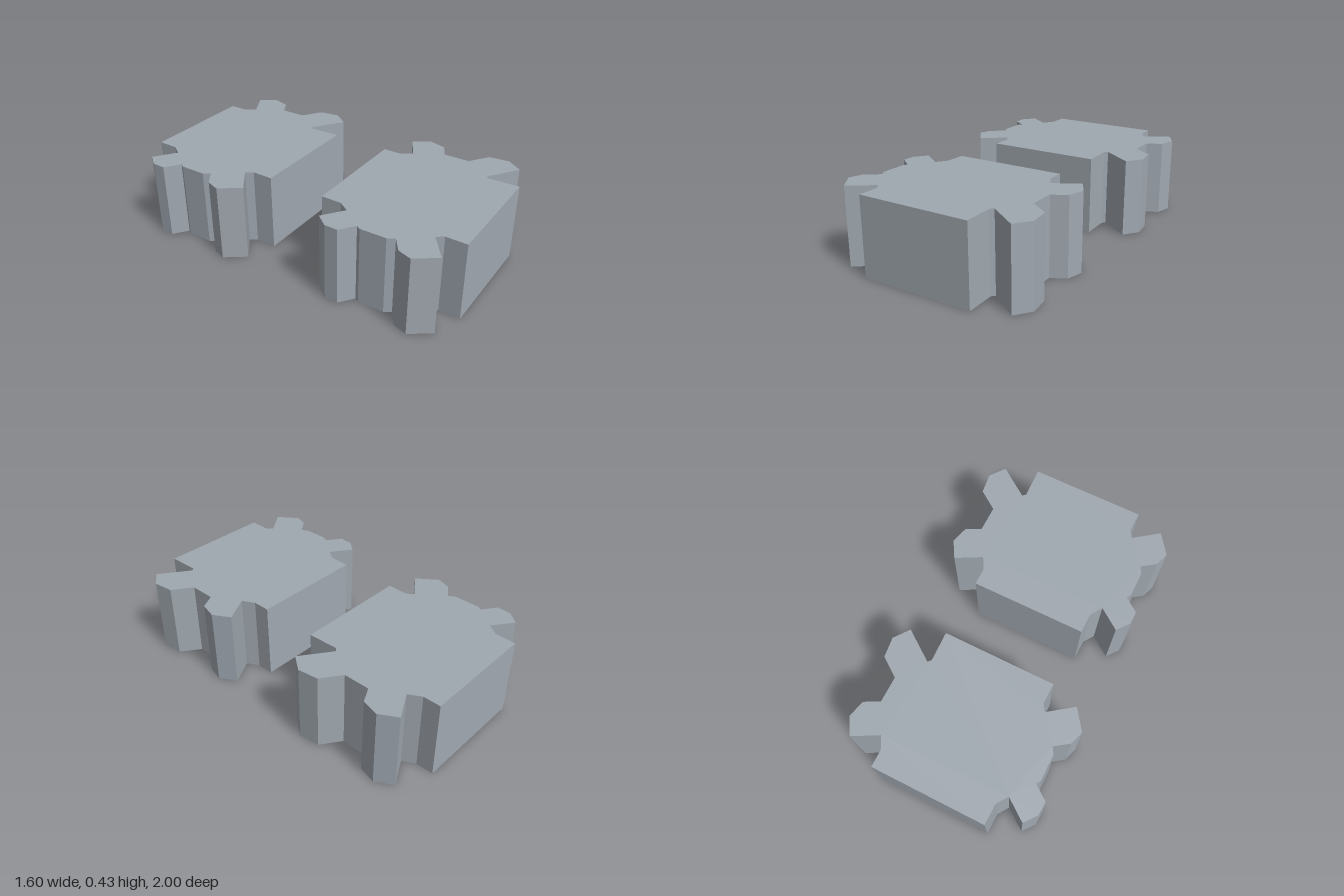
import * as THREE from 'three';

const HEIGHT = 0.425;
const SPACING = { x: 0.413, z: 1.03 };

// Plan outline of one block as [x, z], starting at the rear corner
const OUTLINE = [
  // rear corner and notch
  [-0.08, -1.0], [-0.045, -0.913], [0.013, -0.866],
  // rear tab
  [0.114, -0.988], [0.198, -0.923], [0.21, -0.828], [0.151, -0.759],
  // side tab towards +x
  [0.204, -0.627], [0.33, -0.597], [0.384, -0.5], [0.357, -0.4], [0.161, -0.447],
  // long straight front wall
  [0.151, -0.426], [0.219, -0.273], [-0.364, -0.04],
  // front notch and tab
  [-0.405, -0.147], [-0.443, -0.172], [-0.53, -0.032], [-0.645, -0.104],
  [-0.649, -0.183], [-0.598, -0.262],
  // side tab towards -x
  [-0.632, -0.288], [-0.685, -0.42], [-0.68, -0.447], [-0.775, -0.471],
  [-0.8, -0.54], [-0.775, -0.622], [-0.638, -0.588],
  // back to the long rear wall
  [-0.622, -0.659], [-0.662, -0.765],
];

export function createModel() {
  const group = new THREE.Group();
  group.name = 'notchedBlocks';

  const grey = new THREE.MeshStandardMaterial({ color: 0xa0a8b0 });
  grey.name = 'blue grey';

  // Extrude the plan upwards; shape y is -z
  const shape = new THREE.Shape(OUTLINE.map(([x, z]) => new THREE.Vector2(x, -z)));
  const geometry = new THREE.ExtrudeGeometry(shape, { depth: HEIGHT, bevelEnabled: false });
  geometry.rotateX(-Math.PI / 2);

  // Two identical blocks, one behind the other
  ['backBlock', 'frontBlock'].forEach((name, i) => {
    const block = new THREE.Mesh(geometry, grey);
    block.name = name;
    block.position.set(i * SPACING.x, 0, i * SPACING.z);
    group.add(block);
  });

  return group;
}
